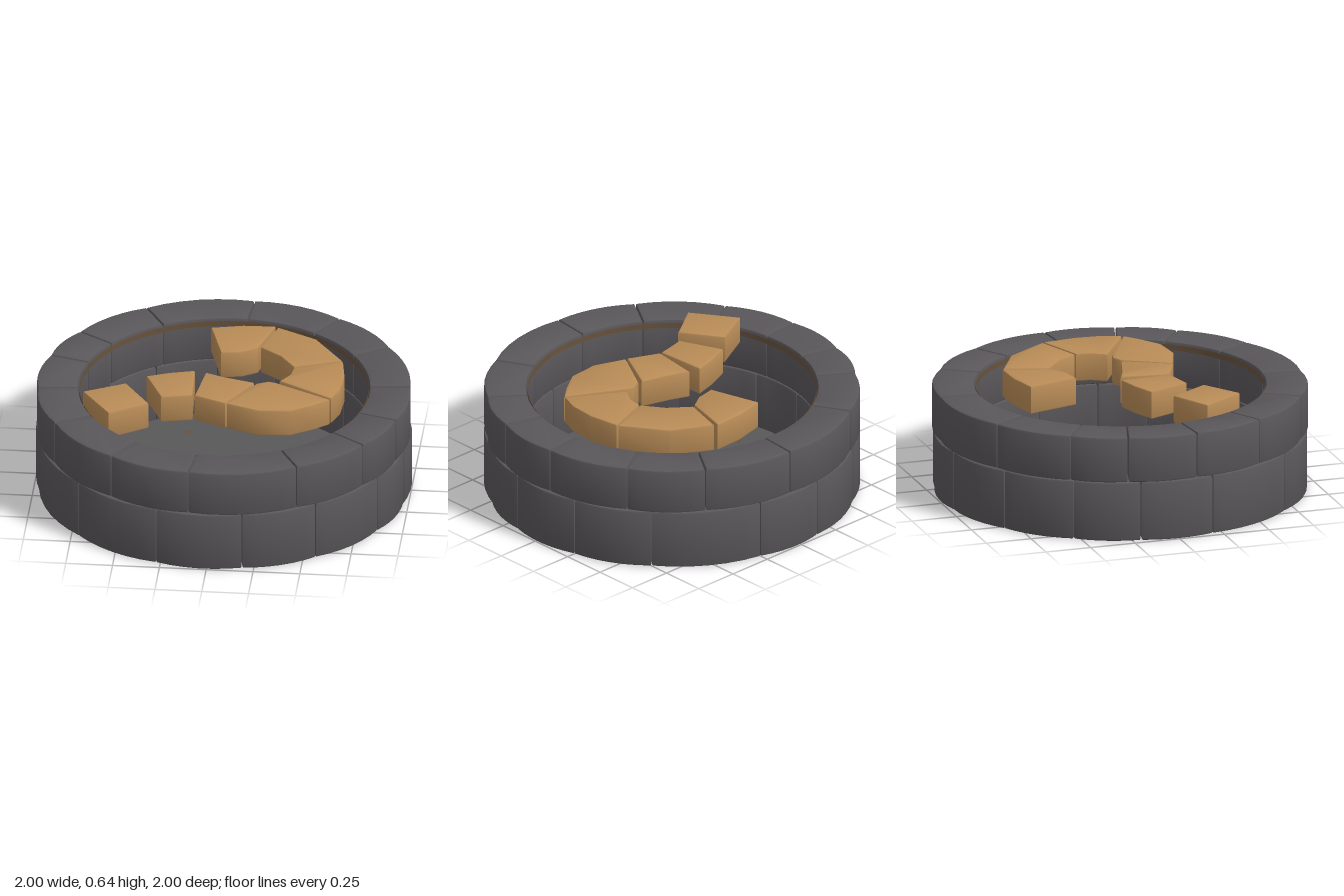
import * as THREE from 'three';
import { toCreasedNormals } from 'three/addons/utils/BufferGeometryUtils.js';

const mat = (name, color, side = THREE.FrontSide) => {
  const m = new THREE.MeshStandardMaterial({ color, side });
  m.name = name;
  return m;
};

// Extrudes a plan outline of [x, z] points between two heights, with softened edges
function slab(points, y0, y1, bevel) {
  const shape = new THREE.Shape(points.map(([x, z]) => new THREE.Vector2(x, z)));
  const geo = new THREE.ExtrudeGeometry(shape, {
    depth: y1 - y0 - 2 * bevel, bevelEnabled: true, bevelThickness: bevel,
    bevelSize: bevel, bevelOffset: -bevel, bevelSegments: 2,
  });
  geo.rotateX(Math.PI / 2);
  geo.translate(0, y1 - bevel, 0);
  return toCreasedNormals(geo, 0.6);
}

// Plan of one wall block between two angles, its outer face flatter than the circle
function sector(a0, a1, rIn, rOut) {
  const gap = 0.003, n = 6, outer = [], inner = [];
  for (let i = 0; i <= n; i++) {
    const t = i / n, a = a0 + gap + (a1 - a0 - 2 * gap) * t;
    const r = rOut - 0.012 * (2 * t - 1) ** 2;
    outer.push([r * Math.cos(a), r * Math.sin(a)]);
    inner.unshift([rIn * Math.cos(a), rIn * Math.sin(a)]);
  }
  return [...outer, ...inner];
}

export function createModel() {
  const group = new THREE.Group();
  const stone = mat('dark stone', 0x5a575a);
  const floorMat = mat('floor stone', 0x5a585a, THREE.DoubleSide);
  const ochre = mat('ochre stone', 0xb98c57);
  const stain = mat('brown stain', 0x68523c, THREE.DoubleSide);

  const add = (name, geo, material, parent = group) => {
    const m = new THREE.Mesh(geo, material);
    m.name = name;
    parent.add(m);
    return m;
  };

  // Two courses of wall blocks, joints given in degrees from +x towards +z
  const courses = [
    ['lowerCourse', 0.005, 0.33,
      [-191.4, -168, -147, -123, -98, -75, -40.3, -14.9, 9.8, 29, 55, 79, 106, 136]],
    ['upperCourse', 0.33, 0.58,
      [-186, -164, -146, -120, -86, -57, -32.6, -5.5, 17, 36.3, 61.6, 95.7, 122, 150]],
  ];
  for (const [name, y0, y1, joints] of courses) {
    const course = new THREE.Group();
    course.name = name;
    group.add(course);
    joints.forEach((deg, i) => {
      const next = i + 1 < joints.length ? joints[i + 1] : joints[0] + 360;
      const plan = sector(THREE.MathUtils.degToRad(deg), THREE.MathUtils.degToRad(next), 0.775, 1);
      add('wallBlock', slab(plan, y0, y1, 0.012), stone, course);
    });
  }

  // Floor disc closing the ring
  const floor = new THREE.CircleGeometry(0.79, 64);
  floor.rotateX(-Math.PI / 2);
  add('floor', floor, floorMat).position.y = 0.015;

  // Brown stains: a thin band under the rim and small spots on the floor
  add('rimStain', new THREE.CylinderGeometry(0.768, 0.768, 0.03, 64, 1, true), stain).position.y = 0.55;
  const spots = [[-0.23, -0.52, 0.022], [-0.24, -0.22, 0.025], [-0.57, 0.09, 0.02], [-0.33, -0.08, 0.013],
    [-0.29, 0.47, 0.015], [0.19, 0.52, 0.015], [-0.14, 0.55, 0.01], [-0.55, 0.5, 0.02]];
  for (const [x, z, r] of spots) {
    const spot = new THREE.CircleGeometry(r, 8);
    spot.rotateX(-Math.PI / 2);
    add('floorStain', spot, stain).position.set(x, 0.019, z);
  }

  // Raised hook of ochre stones, ending in a separate square stone
  const hook = new THREE.Group();
  hook.name = 'ochreHook';
  group.add(hook);
  const plans = [
    [[-0.12, -0.54], [0.05, -0.58], [0.22, -0.585], [0.15, -0.33], [0.07, -0.28], [-0.04, -0.26]],
    [[0.235, -0.575], [0.45, -0.46], [0.61, -0.23], [0.36, -0.135], [0.28, -0.25], [0.165, -0.34]],
    [[0.615, -0.22], [0.64, -0.05], [0.63, 0.1], [0.59, 0.205], [0.3, 0.03], [0.35, -0.05], [0.36, -0.125]],
    [[0.585, 0.215], [0.51, 0.28], [0.39, 0.36], [0.22, 0.375], [0.045, 0.31], [0.18, 0.07], [0.24, 0.04], [0.28, 0.05]],
    [[-0.1, -0.03], [0, 0.01], [0.165, 0.06], [0.035, 0.31], [-0.135, 0.235]],
    [[-0.16, -0.045], [-0.145, 0.235], [-0.31, 0.27], [-0.41, 0.04], [-0.29, -0.01]],
    [[-0.51, 0.13], [-0.37, 0.345], [-0.57, 0.48], [-0.73, 0.245]],
  ];
  for (const plan of plans) add('hookStone', slab(plan, 0.49, 0.645, 0.01), ochre, hook);

  return group;
}
